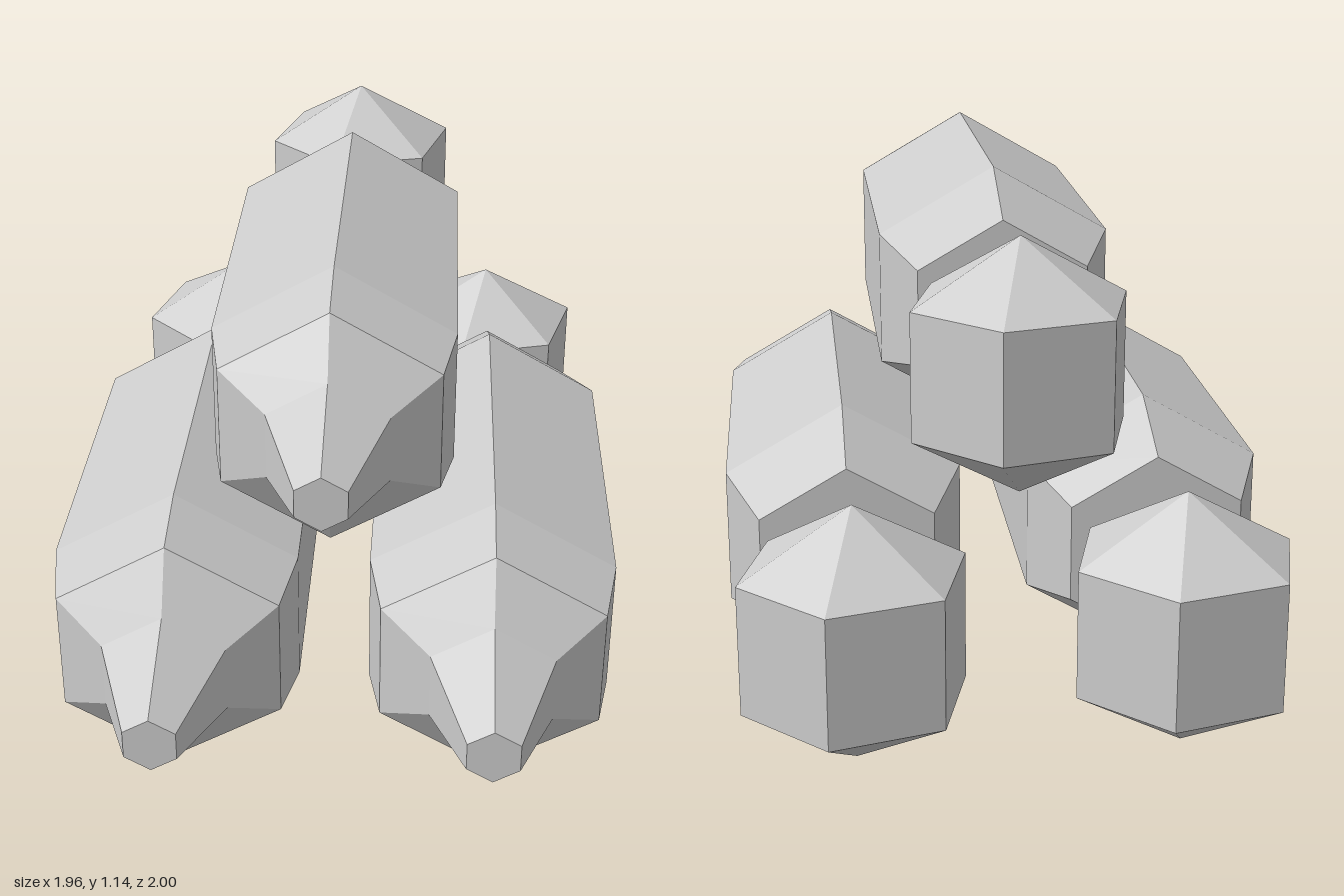
import * as THREE from 'three';

const grey = new THREE.MeshStandardMaterial({ color: 0xcccccc });

// Split faces so every facet has its own normal
function flatMesh(name, geometry) {
  const flat = geometry.toNonIndexed();
  flat.computeVertexNormals();
  const mesh = new THREE.Mesh(flat, grey);
  mesh.name = name;
  return mesh;
}

// Six-sided shape along x with edges at top and bottom; profile is [x, radius]
function hexAlongX(name, profile) {
  const points = profile.map(([x, r]) => new THREE.Vector2(r, x));
  const geometry = new THREE.LatheGeometry(points, 6, Math.PI / 2);
  geometry.rotateZ(-Math.PI / 2);
  return flatMesh(name, geometry);
}

const RADIUS = 0.305;
const BALL = 0.28;

// One capsule with its tapered nozzle and the faceted ball behind it
function createUnit(name) {
  const unit = new THREE.Group();
  unit.name = name;

  const body = hexAlongX('body', [
    [-0.778, 0], [-0.778, 0.15], [-0.70, 0.272], [-0.544, RADIUS],
    [0.25, RADIUS], [0.438, 0.22], [0.438, 0],
  ]);
  const nozzle = hexAlongX('nozzle', [[-1.0, 0], [-1.0, 0.062], [-0.778, 0.15]]);
  body.position.y = nozzle.position.y = RADIUS;

  const ball = flatMesh('ball', new THREE.SphereGeometry(BALL, 6, 3));
  ball.position.set(0.742, BALL, 0);
  ball.rotation.y = Math.PI / 6 - Math.PI / 4;

  unit.add(body, nozzle, ball);
  return unit;
}

export function createModel() {
  const model = new THREE.Group();
  model.name = 'stackedCapsules';

  // Two units side by side, a slightly smaller one on top
  const layout = [
    ['lowerRightUnit', 0, -0.336, 1],
    ['lowerLeftUnit', 0, 0.348, 1],
    ['upperUnit', 0.56, 0.006, 0.95],
  ];
  for (const [name, y, side, scale] of layout) {
    const unit = createUnit(name);
    unit.position.set(side * Math.SQRT1_2, y, side * Math.SQRT1_2);
    unit.rotation.y = Math.PI / 4;
    unit.scale.setScalar(scale);
    model.add(unit);
  }
  return model;
}
